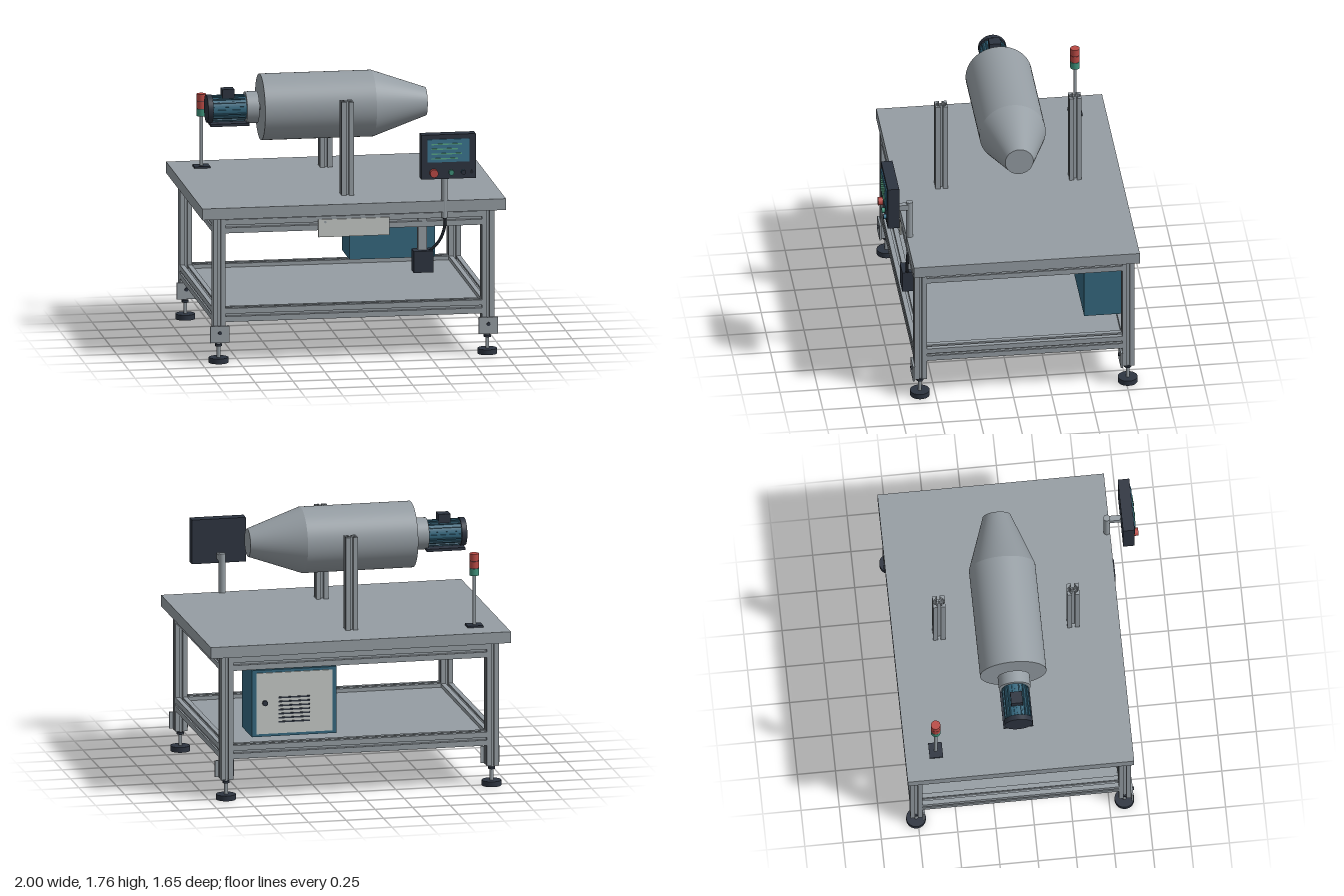
import * as THREE from 'three';

const mat = (name, color) => Object.assign(new THREE.MeshStandardMaterial({ color }), { name });

export function createModel() {
  const root = new THREE.Group();
  root.name = 'rotaryDrumWorkbench';
  const metal = mat('aluminium grey', 0x959da3);
  const dark = mat('dark slate', 0x2d3440);
  const blue = mat('machine blue', 0x35687f);
  const white = mat('panel white', 0xc6cac7);
  const red = mat('signal red', 0xb94a45);
  const green = mat('signal green', 0x3f927b);
  const screen = mat('screen blue', 0x3b7590);
  const line = mat('display green', 0x58a888);
  const black = mat('cable black', 0x20242b);

  const add = (name, geo, material, x = 0, y = 0, z = 0) => {
    const m = new THREE.Mesh(geo, material);
    m.name = name;
    m.position.set(x, y, z);
    root.add(m);
    return m;
  };
  // box given by its min and max on each axis
  const box = (name, material, x0, x1, y0, y1, z0, z1) =>
    add(name, new THREE.BoxGeometry(x1 - x0, y1 - y0, z1 - z0), material,
      (x0 + x1) / 2, (y0 + y1) / 2, (z0 + z1) / 2);
  // upright cylinder from y0 to y1
  const post = (name, material, r, x, z, y0, y1, seg = 24) =>
    add(name, new THREE.CylinderGeometry(r, r, y1 - y0, seg), material, x, (y0 + y1) / 2, z);
  // cylinder along x from x0 (radius r0) to x1 (radius r1)
  const AY = 1.54, AZ = -0.088;
  const axial = (name, material, x0, x1, r0, r1 = r0, seg = 48) =>
    add(name, new THREE.CylinderGeometry(r1, r0, x1 - x0, seg).rotateZ(-Math.PI / 2),
      material, (x0 + x1) / 2, AY, AZ);
  // short cylinder facing +z or -z
  const button = (name, material, r, x, y, z0, z1) =>
    add(name, new THREE.CylinderGeometry(r, r, z1 - z0, 20).rotateX(Math.PI / 2),
      material, x, y, (z0 + z1) / 2);

  // T-slot extrusion of section w x h, centred along z
  const slotBar = (w, h, length) => {
    const shape = new THREE.Shape();
    const o = 0.009, i = 0.018, lip = 0.011, deep = 0.026;
    // one side: distance from the edge and offset along it
    const side = [[-o, 0], [-o, lip], [-i, lip], [-i, deep * 0.7], [-o, deep],
      [o, deep], [i, deep * 0.7], [i, lip], [o, lip], [o, 0]];
    const pts = [];
    for (let k = 0; k < 4; k++) {
      const half = k % 2 ? w / 2 : h / 2;
      const along = k % 2 ? h / 2 : w / 2;
      const a = k * Math.PI / 2, c = Math.cos(a), s = Math.sin(a);
      for (const [u, d] of [[-along, 0], ...side]) {
        const v = -half + d;
        pts.push(new THREE.Vector2(u * c - v * s, u * s + v * c));
      }
    }
    shape.setFromPoints(pts);
    const hole = new THREE.Path();
    hole.absarc(0, 0, 0.006, 0, Math.PI * 2, true);
    shape.holes.push(hole);
    return new THREE.ExtrudeGeometry(shape, { depth: length, bevelEnabled: false, curveSegments: 6 })
      .translate(0, 0, -length / 2);
  };
  const P = 0.08, H = 0.09, LX = 0.885, ZF = 0.6, ZB = -0.762;
  const upright = (name, x, z, y0, y1) =>
    add(name, slotBar(P, P, y1 - y0).rotateX(-Math.PI / 2), metal, x, (y0 + y1) / 2, z);

  // Table top and lower shelf
  box('tableTop', metal, -1, 1, 0.96, 1.035, -0.827, 0.653);
  box('lowerShelf', metal, -0.86, 0.86, 0.325, 0.34, -0.74, 0.58);

  // Frame rails
  for (const y of [0.32, 0.91]) {
    for (const z of [ZF, ZB])
      add('longRail', slotBar(P, H, 2 * LX - P).rotateY(Math.PI / 2), metal, 0, y, z);
    for (const x of [-LX, LX])
      add('sideRail', slotBar(P, H, ZF - ZB - P), metal, x, y, (ZF + ZB) / 2);
  }

  // Legs, foot brackets and levelling feet
  for (const x of [-LX, LX]) for (const z of [ZF, ZB]) {
    upright('leg', x, z, 0.137, 0.96);
    box('footBracket', metal, x - 0.063, x + 0.063, 0.14, 0.25, z + 0.04, z + 0.053);
    button('bracketBolt', dark, 0.012, x, 0.205, z + 0.053, z + 0.062);
    post('footStem', metal, 0.012, x, z, 0.03, 0.14, 16);
    post('footNut', dark, 0.025, x, z, 0.11, 0.125, 6);
    post('footPad', dark, 0.064, x, z, 0, 0.035, 32);
  }

  // Columns beside the drum
  for (const z of [0.352, -0.525]) upright('column', 0, z, 1.035, 1.655);

  // Drum with tapered mouth
  axial('drum', metal, -0.5, 0.235, 0.217, 0.217, 64);
  axial('drumCone', metal, 0.235, 0.59, 0.217, 0.092, 64);

  // Drive motor
  axial('driveShaft', metal, -0.53, -0.49, 0.018, 0.018, 20);
  axial('motorFlange', metal, -0.6, -0.52, 0.104);
  axial('motorBody', blue, -0.82, -0.6, 0.08);
  for (let k = 0; k < 20; k++) {
    const a = k * Math.PI / 10;
    const fin = add('coolingFin', new THREE.BoxGeometry(0.21, 0.016, 0.008), blue,
      -0.712, AY + 0.08 * Math.cos(a), AZ + 0.08 * Math.sin(a));
    fin.rotation.x = a;
  }
  axial('motorFanCover', dark, -0.855, -0.82, 0.092);
  box('motorBase', dark, -0.84, -0.585, 1.437, 1.455, AZ - 0.097, AZ + 0.097);
  box('junctionBox', dark, -0.755, -0.675, 1.6, 1.67, AZ - 0.038, AZ + 0.038);

  // Signal tower
  const TX = -0.8, TZ = -0.625;
  box('towerBase', dark, TX - 0.052, TX + 0.052, 1.035, 1.047, TZ - 0.044, TZ + 0.044);
  post('towerPole', metal, 0.011, TX, TZ, 1.047, 1.38, 16);
  [green, red, red].forEach((m, k) => {
    const y = 1.377 + k * 0.05;
    post('towerLamp', m, 0.031, TX, TZ, y, y + 0.046);
    if (k) post('lampJoint', dark, 0.027, TX, TZ, y - 0.004, y);
  });

  // Operator panel
  box('panelHousing', dark, 0.42, 0.778, 1.212, 1.507, 0.722, 0.797);
  box('panelScreen', screen, 0.46, 0.735, 1.325, 1.477, 0.797, 0.804);
  [0.2, 0.175, 0.2, 0.175].forEach((w, k) => {
    const y = 1.445 - k * 0.032;
    box('screenLine', line, 0.485, 0.485 + w, y - 0.004, y + 0.004, 0.804, 0.809);
  });
  button('stopButton', red, 0.027, 0.5, 1.255, 0.797, 0.828);
  button('startButton', green, 0.017, 0.616, 1.255, 0.797, 0.818);
  button('selectorButton', screen, 0.015, 0.695, 1.255, 0.797, 0.812);
  button('selectorCap', dark, 0.015, 0.695, 1.255, 0.812, 0.818);
  button('keySwitch', black, 0.012, 0.75, 1.255, 0.797, 0.803);
  post('panelPole', metal, 0.022, 0.598, 0.632, 0.92, 1.297);
  box('panelArm', metal, 0.58, 0.616, 1.24, 1.28, 0.64, 0.722);

  // Cable down to the control box
  const path = new THREE.CatmullRomCurve3([[0.598, 0.93, 0.643], [0.597, 0.86, 0.645],
    [0.565, 0.775, 0.645], [0.505, 0.705, 0.635], [0.48, 0.68, 0.62]]
    .map(p => new THREE.Vector3(...p)));
  add('cable', new THREE.TubeGeometry(path, 32, 0.01, 10), black);
  box('boxHanger', metal, 0.425, 0.485, 0.7, 0.96, 0.59, 0.63);
  box('controlBox', dark, 0.39, 0.52, 0.565, 0.708, 0.57, 0.67);

  // White plate on the front rail
  box('frontPlate', white, -0.235, 0.232, 0.82, 0.937, 0.64, 0.65);
  button('plateScrew', metal, 0.008, -0.19, 0.92, 0.65, 0.653);

  // Electrical cabinet with louvred rear door
  box('cabinet', blue, 0.155, 0.72, 0.413, 0.858, -0.797, -0.497);
  box('cabinetDoor', white, 0.185, 0.69, 0.433, 0.84, -0.806, -0.797);
  button('doorLock', dark, 0.018, 0.635, 0.64, -0.822, -0.806);
  for (let k = 0; k < 7; k++) {
    const y = 0.51 + k * 0.027;
    box('doorVent', dark, 0.335, 0.545, y - 0.005, y + 0.005, -0.81, -0.806);
  }
  return root;
}
